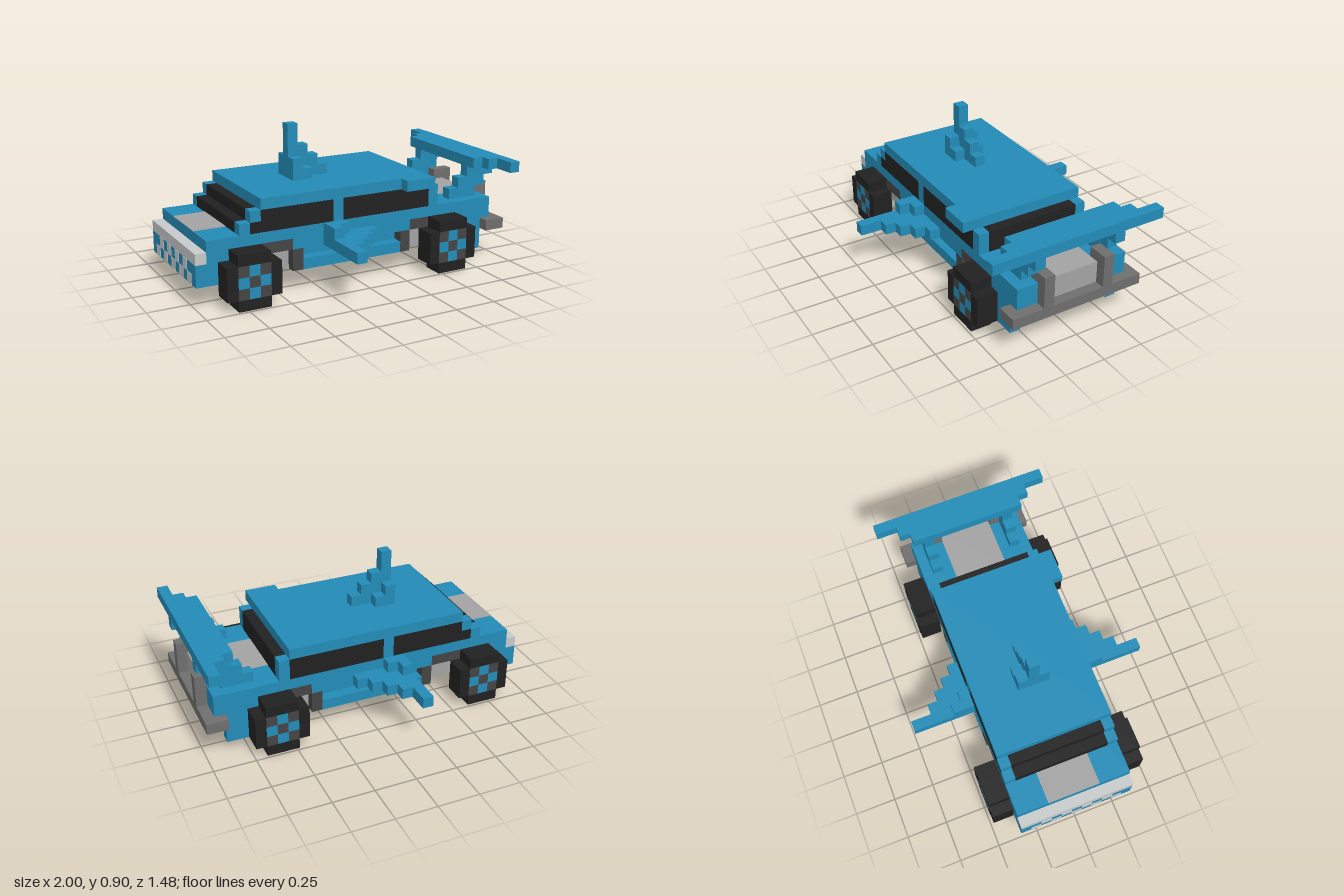
import * as THREE from 'three';

// The car is laid out on a 31 x 14 x 23 block grid and points towards -x.
const U = 2 / 31;

export function createModel() {
  const car = new THREE.Group();
  car.name = 'blockCar';

  const mat = (name, color) => {
    const m = new THREE.MeshStandardMaterial({ color });
    m.name = name;
    return m;
  };
  const blue = mat('bluePaint', 0x238bb6);
  const black = mat('blackGlassAndTyre', 0x212121);
  const dark = mat('darkGrey', 0x444444);
  const grey = mat('bumperGrey', 0x6e6e6e);
  const silver = mat('silverPanel', 0xa2a2a2);
  const light = mat('lightGrey', 0xc6c9c9);

  // Box from grid limits: x counted from the nose, y from the ground, z from the centre line
  const box = (name, m, x0, x1, y0, y1, z0, z1, parent = car) => {
    const g = new THREE.BoxGeometry((x1 - x0) * U, (y1 - y0) * U, (z1 - z0) * U);
    const mesh = new THREE.Mesh(g, m);
    mesh.position.set(((x0 + x1) / 2 - 15.5) * U, ((y0 + y1) / 2) * U, ((z0 + z1) / 2) * U);
    mesh.name = name;
    parent.add(mesh);
  };
  const wide = (name, m, x0, x1, y0, y1, h) => box(name, m, x0, x1, y0, y1, -h, h);
  const pair = (name, m, x0, x1, y0, y1, z0, z1) => {
    box(name, m, x0, x1, y0, y1, z0, z1);
    box(name, m, x0, x1, y0, y1, -z1, -z0);
  };

  // Body
  wide('lowerBody', blue, 0, 29, 2, 4, 4.5);
  wide('middleBody', blue, 1, 30, 4, 5, 4.5);
  wide('upperBody', blue, 1, 30, 5, 6, 5.5);
  pair('frontCorner', blue, 0, 2, 2, 4, 4.5, 5.5);
  pair('rearCorner', blue, 27, 29, 2, 4, 4.5, 5.5);
  pair('mudFlap', blue, 27, 29, 1, 2, 4.5, 5.5);
  pair('sideSkirt', blue, 10, 20, 2, 3, 4.5, 5.5);
  for (const [a, b] of [[1, 3], [9, 21], [26, 30]]) pair('sidePanel', blue, a, b, 4, 5, 4.5, 5.5);

  // Wheel arches
  for (const [a, b] of [[3, 9], [21, 26]]) {
    pair('archTop', dark, a, b, 4, 5, 4.5, 5.5);
    pair('archPost', dark, a - 1, a, 2, 4, 4.5, 5.5);
    pair('archPost', dark, b, b + 1, 2, 4, 4.5, 5.5);
    pair('wheelWell', silver, a, b, 2, 4, 4.5, 4.6);
  }

  // Nose: light bar and chequered grille
  wide('lightBar', light, 0, 1, 4, 5, 5.5);
  for (let i = -4; i <= 4; i++) {
    const y = i % 2 ? 3 : 2;
    box('grilleCell', light, -0.04, 0.06, y, y + 1, i - 0.5, i + 0.5);
  }
  wide('hoodPanel', silver, 1, 4, 5.95, 6.05, 2.5);
  wide('trunkPanel', silver, 24, 30, 5.95, 6.05, 2.5);
  wide('rearPanel', silver, 29.95, 30.05, 4, 6, 2.5);

  // Cabin: glass core, frame and side windows
  wide('windscreenLower', black, 4, 24, 6, 7, 4.5);
  wide('windscreenUpper', black, 5, 24, 7, 8, 4.5);
  pair('frontPillarLower', blue, 4, 5, 6, 7, 4.5, 5.5);
  pair('frontPillarUpper', blue, 5, 6, 7, 8, 4.5, 5.5);
  pair('middlePillar', blue, 13, 14, 6, 8, 4.5, 5.5);
  pair('rearPillar', blue, 23, 24, 6, 8, 4.5, 5.5);
  pair('frontSideWindowLower', black, 5, 13, 6, 7, 4.5, 5.5);
  pair('frontSideWindowUpper', black, 6, 13, 7, 8, 4.5, 5.5);
  pair('rearSideWindow', black, 14, 23, 6, 8, 4.5, 5.5);
  wide('roof', blue, 6, 23, 8, 9, 5.5);
  box('roofTab', blue, 20, 23, 8, 9, 5.5, 6.5);

  // Stepped fin on the roof
  [14, 12, 11, 10].forEach((top, i) => wide('roofFin', blue, 11 + i, 12 + i, 9, top, 0.5));
  [11, 10].forEach((top, i) => wide('roofFinBase', blue, 11 + i, 12 + i, 9, top, 1.5));

  // Stepped fins on the sides
  [11.5, 9.5, 8.5, 7.5, 6.5].forEach((tip, i) => pair('sideFin', blue, 12 + i, 13 + i, 4, 5, 5.5, tip));
  [7.5, 6.5].forEach((tip, i) => pair('sideFinBase', blue, 12 + i, 13 + i, 5, 6, 5.5, tip));

  // Rear wing on stepped supports
  [5.5, 6.5, 8.5].forEach((h, i) => wide('rearWing', blue, 28 + i, 29 + i, 9, 10, h));
  pair('wingSupport', blue, 26, 29, 6, 7, 3.5, 4.5);
  pair('wingSupport', blue, 27, 30, 7, 8, 3.5, 4.5);
  pair('wingSupport', blue, 28, 31, 8, 9, 3.5, 4.5);

  // Rear bumper with uprights
  wide('rearBumper', grey, 29, 31, 3, 4, 6.5);
  pair('bumperUpright', grey, 30, 31, 4, 7, 2.5, 3.5);
  pair('bumperHook', grey, 29, 30, 6, 7, 2.5, 3.5);

  // Wheels: tyre ring around a chequered hub
  for (const x of [2, 22]) {
    for (const z of [-7.5, 5.5]) {
      const wheel = new THREE.Group();
      wheel.name = x === 2 ? 'frontWheel' : 'rearWheel';
      car.add(wheel);
      for (const k of [0, 4]) {
        box('tyreSide', black, x + k, x + k + 1, 1, 4, z, z + 2, wheel);
        box('tyreTread', black, x + 1, x + 4, k, k + 1, z, z + 2, wheel);
      }
      for (let i = 0; i < 3; i++) {
        for (let j = 0; j < 3; j++) {
          const m = (i + j) % 2 ? blue : dark;
          box('hubCell', m, x + 1 + i, x + 2 + i, 1 + j, 2 + j, z, z + 2, wheel);
        }
      }
    }
  }
  return car;
}
